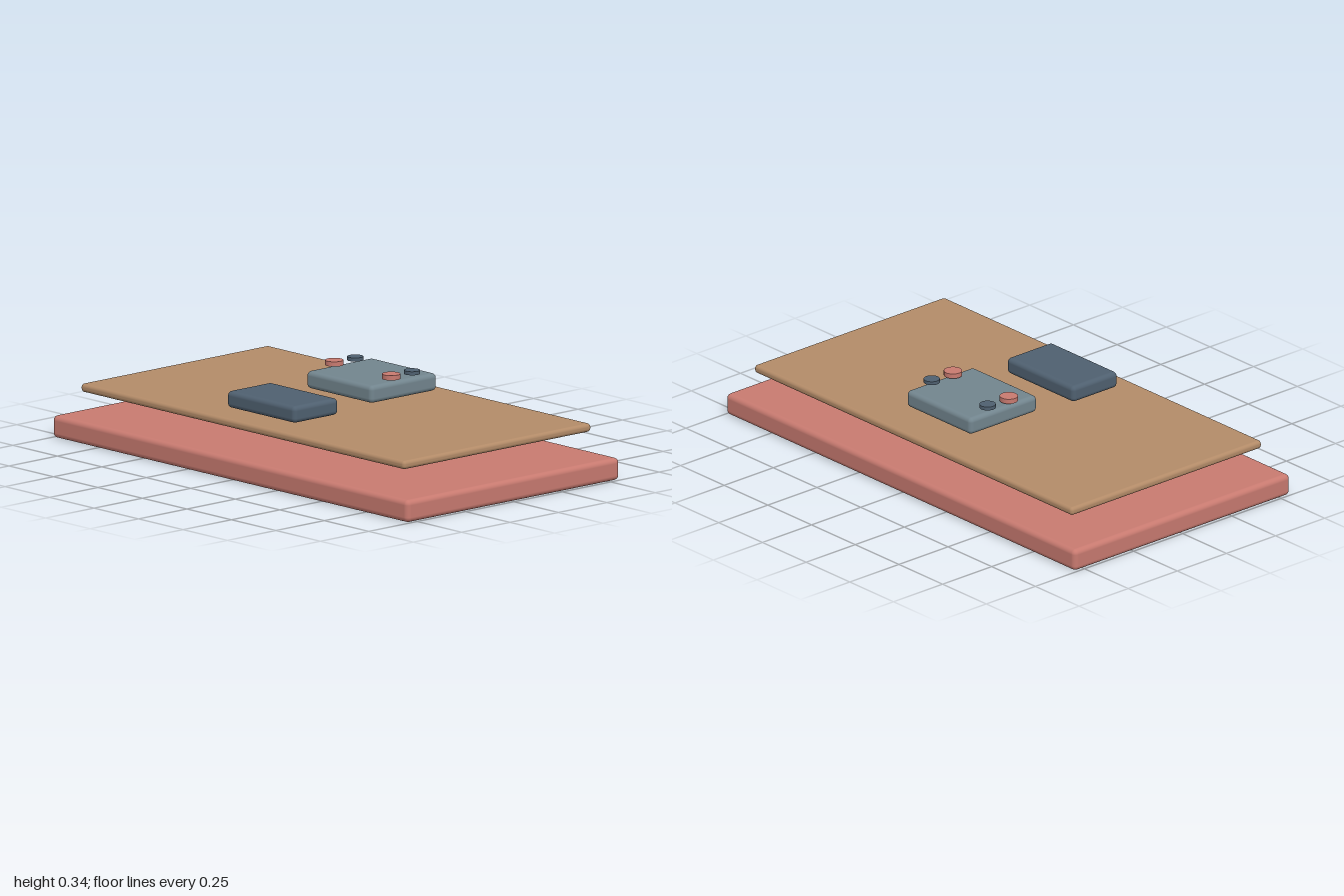
import * as THREE from 'three';
import { RoundedBoxGeometry } from 'three/addons/geometries/RoundedBoxGeometry.js';

const flat = (name, color) => {
  const m = new THREE.MeshStandardMaterial({ color });
  m.name = name;
  return m;
};

export function createModel() {
  const coral = flat('coral', 0xc87a70);
  const tan = flat('tan', 0xb38b68);
  const slate = flat('slate', 0x4f6070);
  const grey = flat('blue grey', 0x72858e);

  const model = new THREE.Group();
  model.name = 'layeredBoard';

  const add = (name, geometry, material, x, y, z) => {
    const mesh = new THREE.Mesh(geometry, material);
    mesh.name = name;
    mesh.position.set(x, y, z);
    model.add(mesh);
  };

  // Rounded slab given by its size, vertical extent and depth centre
  const slab = (name, material, width, depth, bottom, top, z, radius) =>
    add(name, new RoundedBoxGeometry(width, top - bottom, depth, 4, radius),
      material, 0, (bottom + top) / 2, z);

  // Stacked slabs, floating a little above one another
  slab('base', coral, 2, 1.1, 0, 0.087, 0, 0.02);
  slab('deck', tan, 1.82, 0.97, 0.183, 0.216, 0, 0.014);
  slab('frontPad', slate, 0.384, 0.23, 0.228, 0.293, 0.276, 0.018);
  slab('rearPad', grey, 0.37, 0.342, 0.242, 0.31, -0.184, 0.018);

  // Two pairs of round buttons over the rear pad
  const frontButton = new THREE.CylinderGeometry(0.035, 0.035, 0.019, 32);
  const rearButton = new THREE.CylinderGeometry(0.031, 0.031, 0.014, 32);
  for (const [side, x] of [['left', 0.16], ['right', -0.16]]) {
    add(`${side}FrontButton`, frontButton, coral, x, 0.328, -0.138);
    add(`${side}RearButton`, rearButton, slate, x, 0.328, -0.246);
  }
  return model;
}
